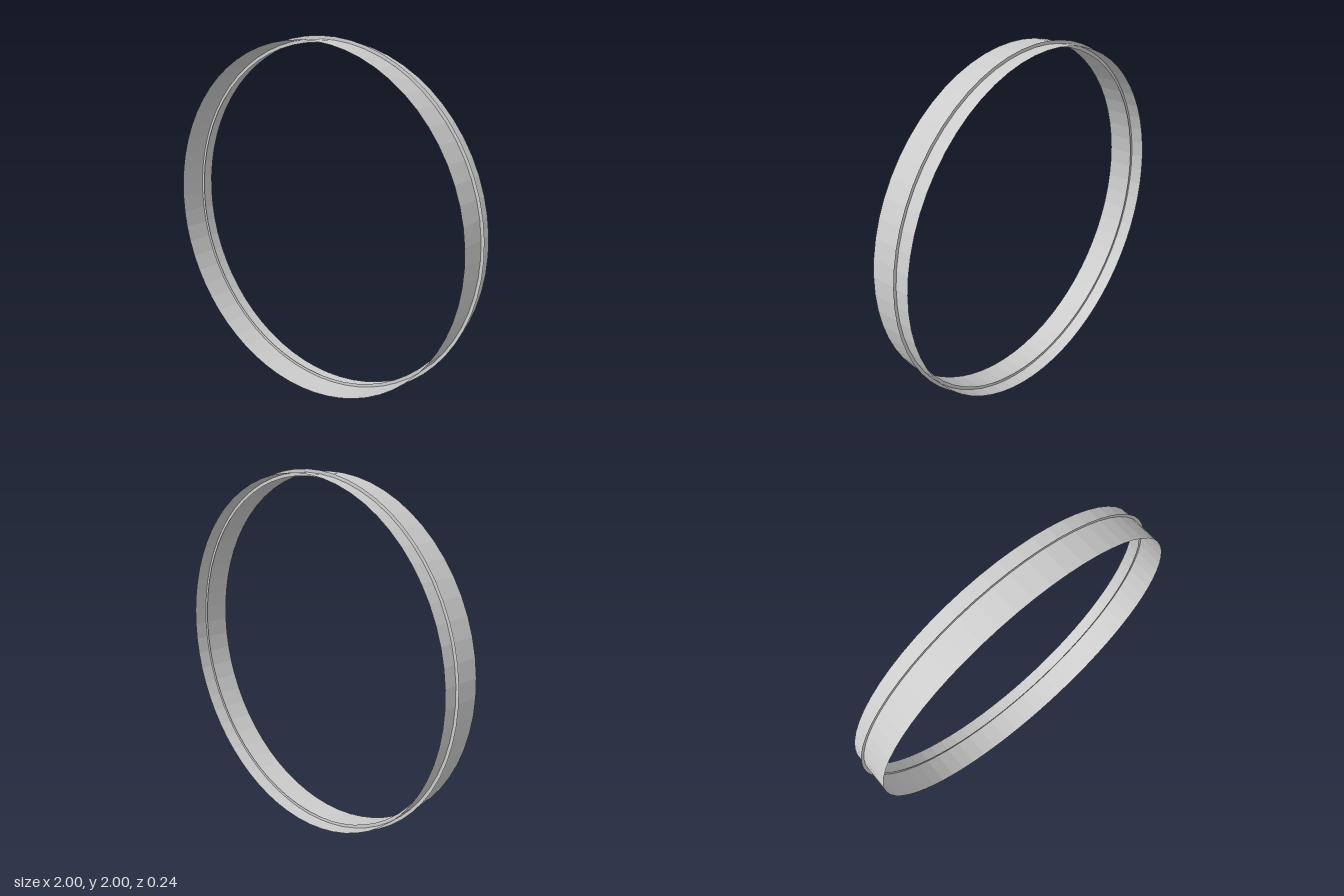
import * as THREE from 'three';

const SEGMENTS = 64;
const BAND_RADIUS = 0.983;
const BAND_WIDTH = 0.236;

export function createModel() {
  const group = new THREE.Group();
  group.name = 'hoop';
  const material = new THREE.MeshStandardMaterial({
    color: 0xcccccc, flatShading: true, side: THREE.DoubleSide,
  });

  // Thin open band, its axis along z
  const bandGeometry = new THREE.CylinderGeometry(BAND_RADIUS, BAND_RADIUS, BAND_WIDTH, SEGMENTS, 1, true);
  bandGeometry.rotateX(Math.PI / 2);
  const band = new THREE.Mesh(bandGeometry, material);
  band.name = 'band';
  band.position.y = 1;

  // Flat flange crossing the band, a little behind its middle
  const flange = new THREE.Mesh(new THREE.RingGeometry(0.965, 1, SEGMENTS), material);
  flange.name = 'flange';
  flange.position.set(0, 1, -0.04);

  group.add(band, flange);
  return group;
}
